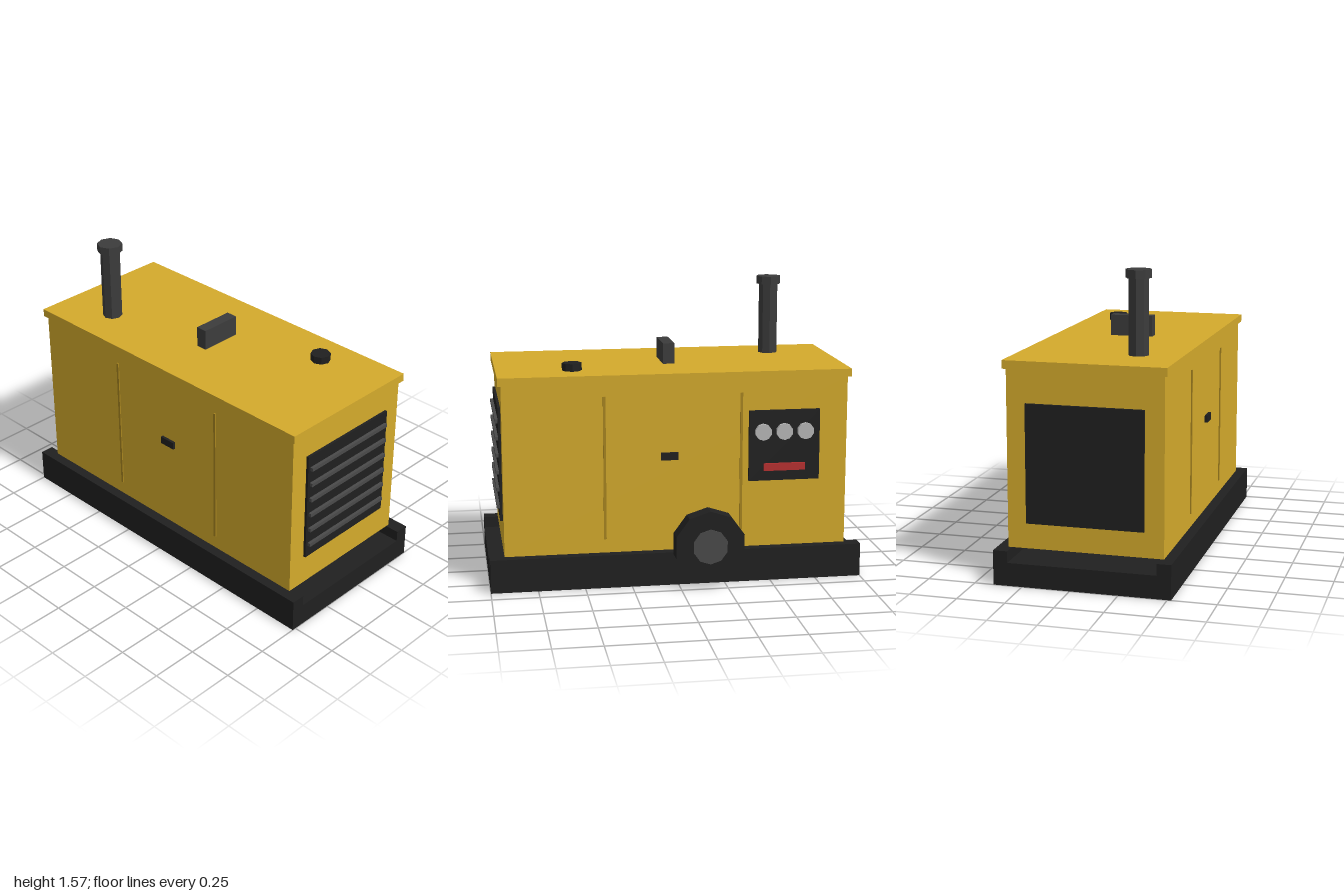
import * as THREE from 'three';

const mat = (color) => new THREE.MeshStandardMaterial({ color, flatShading: true });

export function createModel() {
  const model = new THREE.Group();
  model.name = 'generator';
  const yellow = mat(0xd4aa2c), black = mat(0x202020), steel = mat(0x3c3c3c);
  const slatGrey = mat(0x4a4a4a), seamBrown = mat(0xa8851f), white = mat(0xb8b8b8), red = mat(0xb83030);
  const midX = -0.06; // the body sits off centre to leave room for the wheel

  // Box given by its extents
  const box = (name, material, x0, x1, y0, y1, z0, z1) => {
    const mesh = new THREE.Mesh(new THREE.BoxGeometry(x1 - x0, y1 - y0, z1 - z0), material);
    mesh.position.set((x0 + x1) / 2, (y0 + y1) / 2, (z0 + z1) / 2);
    mesh.name = name;
    model.add(mesh);
  };
  // Upright cylinder standing on y0
  const post = (name, material, r, x, y0, y1, z) => {
    const mesh = new THREE.Mesh(new THREE.CylinderGeometry(r, r, y1 - y0, 8), material);
    mesh.position.set(x, (y0 + y1) / 2, z);
    mesh.name = name;
    model.add(mesh);
  };
  // Ten-sided disc with its axis along x, one corner pointing up
  const disc = (name, material, r, x0, x1, y, z) => {
    const geometry = new THREE.CylinderGeometry(r, r, x1 - x0, 10);
    geometry.rotateY(Math.PI / 2).rotateZ(-Math.PI / 2);
    const mesh = new THREE.Mesh(geometry, material);
    mesh.position.set((x0 + x1) / 2, y, z);
    mesh.name = name;
    model.add(mesh);
  };

  // Skid base with raised side rails
  box('skidFloor', black, -0.445, 0.325, 0, 0.12, -1, 1);
  box('rightRail', black, -0.52, -0.445, 0, 0.18, -1, 1);
  box('leftRail', black, 0.325, 0.4, 0, 0.18, -1, 1);

  // Housing and roof
  box('housing', yellow, midX - 0.405, midX + 0.405, 0.18, 1.1, -0.922, 0.922);
  box('roof', yellow, midX - 0.42, midX + 0.42, 1.097, 1.14, -0.94, 0.94);

  // Front grille with slats, plain rear panel
  box('frontGrille', black, -0.365, 0.245, 0.35, 0.963, 0.91, 0.936);
  for (let i = 0; i < 6; i++) {
    const y = 0.426 + i * 0.0925;
    box('grilleSlat', slatGrey, -0.35, 0.23, y - 0.01, y + 0.01, 0.93, 0.952);
  }
  box('rearPanel', black, -0.365, 0.245, 0.313, 0.926, -0.936, -0.91);

  // Door seams and handles on both sides
  for (const side of [-1, 1]) {
    const strip = (name, material, out, y0, y1, z0, z1) => {
      const a = midX + side * 0.4, b = midX + side * (0.405 + out);
      box(name, material, Math.min(a, b), Math.max(a, b), y0, y1, z0, z1);
    };
    for (const z of [-0.345, 0.387]) strip('doorSeam', seamBrown, 0.006, 0.255, 1.026, z - 0.007, z + 0.007);
    strip('doorHandle', black, 0.015, 0.676, 0.716, -0.005, 0.088);
  }

  // Control panel
  box('controlPanel', black, 0.335, 0.36, 0.545, 0.928, -0.77, -0.385);
  for (const z of [-0.46, -0.575, -0.69]) disc('gauge', white, 0.045, 0.355, 0.38, 0.813, z);
  box('warningStrip', red, 0.35, 0.372, 0.6, 0.64, -0.69, -0.465);

  // Wheel and hub
  disc('wheel', black, 0.192, 0.418, 0.51, 0.235, -0.152);
  disc('wheelHub', slatGrey, 0.095, 0.42, 0.516, 0.235, -0.152);

  // Roof fittings
  post('exhaustPipe', steel, 0.053, -0.253, 1.13, 1.54, -0.617);
  post('exhaustCap', steel, 0.068, -0.253, 1.53, 1.573, -0.617);
  post('fuelCap', black, 0.053, 0.17, 1.13, 1.18, 0.537);
  box('liftingLug', steel, -0.175, 0.056, 1.13, 1.252, -0.031, 0.031);

  return model;
}
